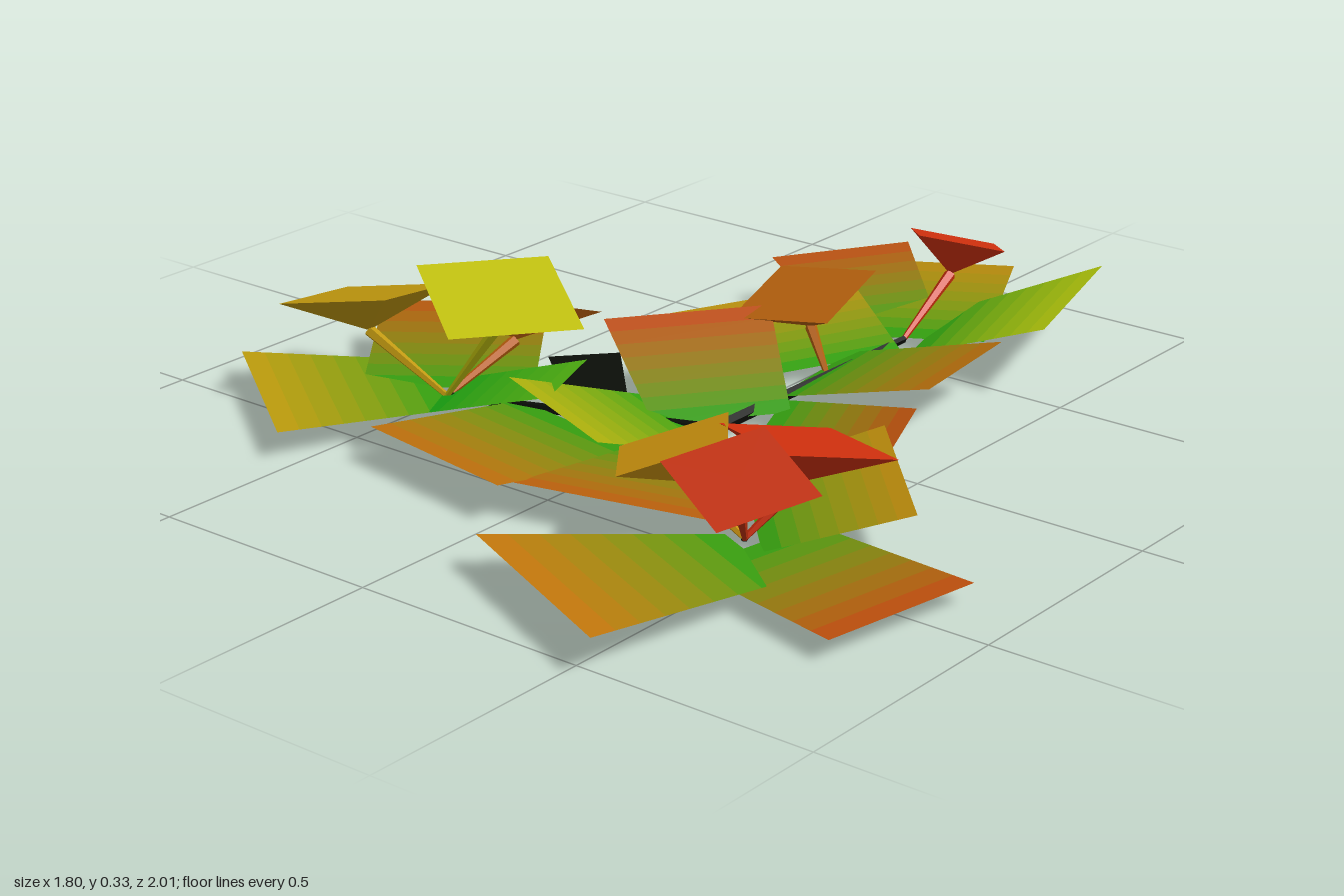
import * as THREE from 'three';

const BANDS = 8;
const LOW = 0.03; // height at which leaves and flowers leave the runners
const GREEN = 0x0fa010, BLACK = 0x0a0d08;
const UP = new THREE.Vector3(0, 1, 0);
const at = (x, y, z) => new THREE.Vector3(x, y, z);
const mat = (color) => new THREE.MeshStandardMaterial({ color, side: THREE.DoubleSide, flatShading: true });

// Leaf: a plane tapering from base middle (bx, bz) to tip middle (tx, tz), banded from base to tip colour
function leaf(bx, bz, tx, tz, baseWidth, tipWidth, tipY, tipColor, baseColor = GREEN) {
  const geo = new THREE.PlaneGeometry(1, 1, 1, BANDS);
  const p = geo.attributes.position;
  const dx = tx - bx, dz = tz - bz, len = Math.hypot(dx, dz);
  for (let i = 0; i < p.count; i++) {
    const t = p.getY(i) + 0.5;
    const side = (p.getX(i) * THREE.MathUtils.lerp(baseWidth, tipWidth, t)) / len;
    p.setXYZ(i, bx + dx * t - dz * side, THREE.MathUtils.lerp(LOW, tipY, t), bz + dz * t + dx * side);
  }
  geo.computeVertexNormals();
  const mats = [];
  for (let i = 0; i < BANDS; i++) {
    geo.addGroup(i * 6, 6, i);
    mats.push(mat(new THREE.Color(tipColor).lerp(new THREE.Color(baseColor), (i + 0.5) / BANDS)));
  }
  const m = new THREE.Mesh(geo, mats);
  m.name = 'leaf';
  return m;
}

// Tapered rod between two points
function rod(name, from, to, r0, r1, color) {
  const d = to.clone().sub(from);
  const m = new THREE.Mesh(new THREE.CylinderGeometry(r1, r0, d.length(), 5), mat(color));
  m.position.copy(from).addScaledVector(d, 0.5);
  m.quaternion.setFromUnitVectors(UP, d.normalize());
  m.name = name;
  return m;
}

// Flower: inverted square pyramid, tilted by its slopes along x and z, on a slender stalk
function flower(base, x, y, z, radius, yaw, slopeX, slopeZ, color) {
  const g = new THREE.Group();
  g.name = 'flower';
  const depth = 0.075;
  const normal = at(-slopeX, 1, -slopeZ).normalize();
  const head = new THREE.Mesh(
    new THREE.CylinderGeometry(radius, 0, depth, 4).rotateY(yaw).translate(0, -depth / 2, 0), mat(color));
  head.name = 'flowerHead';
  head.position.set(x, y, z);
  head.quaternion.setFromUnitVectors(UP, normal);
  const apex = head.position.clone().addScaledVector(normal, -depth);
  g.add(head, rod('flowerStalk', base, apex, 0.006, 0.013, color));
  return g;
}

// Named group of leaves and flowers around one node of the runners
function cluster(name, node, leaves, flowers) {
  const g = new THREE.Group();
  g.name = name;
  for (const l of leaves) g.add(leaf(...l));
  for (const f of flowers) g.add(flower(node, ...f));
  return g;
}

export function createModel() {
  const root = new THREE.Group();
  root.name = 'creepingPlant';
  const hub = at(0.07, LOW, 0.09), back = at(0.07, LOW, -0.56), middle = at(0.06, LOW, -0.3);
  const left = at(0.44, LOW, 0.46), right = at(-0.46, LOW, 0.28);

  // Runners joining the clusters, and the root below the hub
  for (const end of [back, left, right]) root.add(rod('runner', hub, end, 0.014, 0.008, BLACK));
  root.add(rod('root', at(0.07, 0, 0.09), at(0.07, 0.04, 0.09), 0.016, 0.008, BLACK));

  root.add(cluster('backCluster', back, [
    [0.1, -0.585, -0.09, -0.91, 0.26, 0.34, 0.07, 0xb8860c],
    [0.09, -0.635, 0.385, -0.72, 0.3, 0.42, 0.15, 0xb4c80c],
    [-0.01, -0.61, -0.24, -0.755, 0.23, 0.32, 0.11, 0xb8440c],
  ], [[0.07, 0.2, -0.75, 0.13, -0.1, 0, 0.32, 0xd0300e]]));

  root.add(cluster('middleCluster', middle, [
    [0.03, -0.33, -0.22, -0.445, 0.37, 0.44, 0.09, 0xb88a0c],
    [0.045, -0.28, 0.39, -0.32, 0.3, 0.31, 0.12, 0xb8680c],
  ], [[-0.03, 0.17, -0.34, 0.16, 0.94, 0.1, -0.22, 0xb4600e]]));

  root.add(cluster('hubCluster', hub, [
    [0.05, 0.03, -0.185, -0.15, 0.28, 0.35, 0.15, 0xc0400c],
    [0.155, 0.045, 0.42, -0.065, 0.37, 0.23, 0.07, 0xb8440c],
    [0.015, 0.095, -0.1, 0.37, 0.36, 0.385, 0.12, 0xb0b00c],
    [-0.135, 0.235, -0.195, 0.605, 0.39, 0.39, 0.075, 0xc06a0c],
    [0.135, 0.205, 0.215, 0.55, 0.27, 0.435, 0.07, 0xc05a0c],
  ], []));

  root.add(cluster('leftCluster', left, [
    [0.375, 0.355, 0.575, 0.165, 0.37, 0.43, 0.105, 0xc08a0c],
    [0.47, 0.48, 0.855, 0.55, 0.3, 0.35, 0.04, 0xc0440c],
    [0.505, 0.515, 0.325, 0.915, 0.23, 0.48, 0.07, 0xc8740c],
  ], [
    [0.295, 0.187, 0.488, 0.15, -0.1, 0.34, -0.1, 0xc8900e],
    [0.5, 0.2, 0.35, 0.17, 0.38, 0, 0.25, 0xd0300e],
    [0.565, 0.238, 0.633, 0.147, 0.38, -0.22, -0.25, 0xc0300e],
  ]));

  root.add(cluster('rightCluster', right, [
    [-0.49, 0.245, -0.675, -0.015, 0.35, 0.35, 0.1, 0xb8500c],
    [-0.52, 0.245, -0.73, 0.54, 0.29, 0.46, 0.055, 0xc09a0c],
    [-0.47, 0.285, -0.215, 0.19, 0.2, 0.22, 0.1, 0x50b010],
    [-0.2, 0.115, -0.37, -0.04, 0.12, 0.15, 0.045, BLACK, BLACK],
  ], [
    [-0.415, 0.19, 0.105, 0.167, 0.58, 0.15, 0.38, 0xc8660e],
    [-0.65, 0.215, 0.31, 0.177, 1.0, 0.22, 0.13, 0xc0980e],
    [-0.275, 0.295, 0.32, 0.19, 0.2, -0.22, -0.1, 0xc0c00e],
  ]));
  return root;
}
